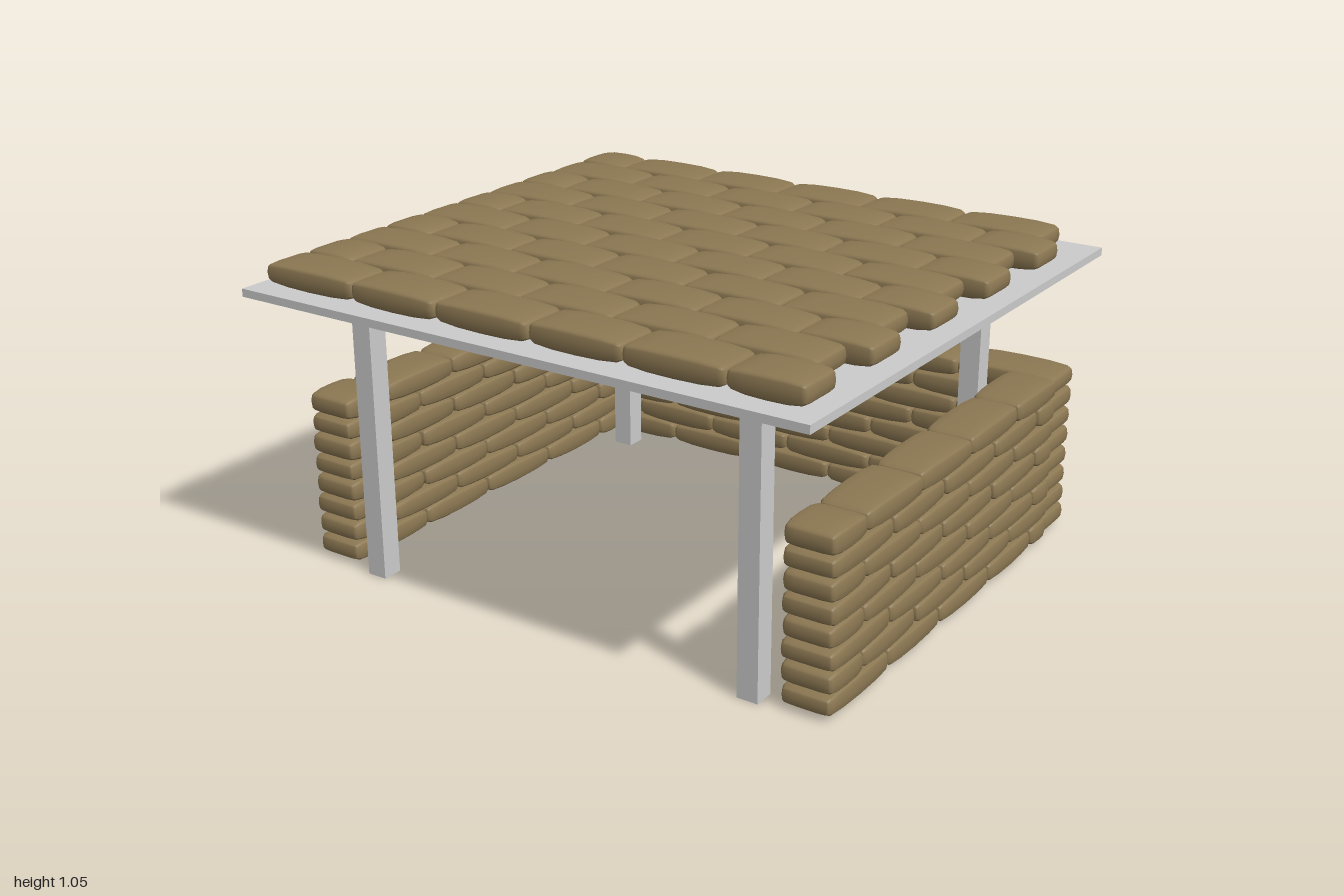
import * as THREE from 'three';
import { mergeVertices } from 'three/addons/utils/BufferGeometryUtils.js';

const grey = new THREE.MeshStandardMaterial({ color: 0xcccccc });
const stone = new THREE.MeshStandardMaterial({ color: 0x8b7752 });

// Small seeded generator for the uneven stones
let seed = 7;
const rand = () => {
  seed = (seed * 16807) % 2147483647;
  return seed / 2147483647 - 0.5;
};

// Joint positions of the two alternating courses (half stone first / half stone last)
const COURSES = [
  [-0.96, -0.77, -0.445, -0.12, 0.21, 0.545, 0.88],
  [-0.96, -0.61, -0.285, 0.055, 0.375, 0.705, 0.95],
];
const HEIGHT = 0.078, DEPTH = 0.18, ROUND = 0.028;

// Pillow-shaped stone: rounded box, thinner towards its ends, slightly uneven
function stoneGeometry(length) {
  let g = new THREE.BoxGeometry(2, 2, 2, 6, 4, 6);
  g.deleteAttribute('normal');
  g.deleteAttribute('uv');
  g = mergeVertices(g);
  const pos = g.attributes.position;
  const half = new THREE.Vector3(length / 2 + 0.003, HEIGHT / 2, DEPTH / 2);
  const core = half.clone().subScalar(ROUND);
  const p = new THREE.Vector3(), inner = new THREE.Vector3();
  const leanY = rand() * 0.08, leanZ = rand() * 0.07, wide = 1.01 + rand() * 0.05;
  for (let i = 0; i < pos.count; i++) {
    p.fromBufferAttribute(pos, i);
    // crowd the vertices towards the rounded edges
    p.set(...p.toArray().map((c) => Math.sin((c * Math.PI) / 2))).multiply(half);
    inner.copy(p).clamp(core.clone().negate(), core);
    p.sub(inner).setLength(ROUND).add(inner);
    const u = p.x / half.x;
    p.y *= 1 - 0.24 * Math.abs(u) ** 3 + leanY * u;
    p.z *= wide * (1 - 0.06 * u * u + leanZ * u);
    pos.setXYZ(i, p.x, p.y, p.z);
  }
  g.computeVertexNormals();
  return g;
}

// One row of stones between the given joints
function addCourse(parent, joints, y, z) {
  for (let i = 0; i < joints.length - 1; i++) {
    const m = new THREE.Mesh(stoneGeometry(joints[i + 1] - joints[i]), stone);
    m.name = 'stone';
    m.position.set((joints[i] + joints[i + 1]) / 2, y, z);
    parent.add(m);
  }
}

// Eight stacked courses along local x
function makeWall(name, courses, first) {
  const wall = new THREE.Group();
  wall.name = name;
  for (let r = 0; r < 8; r++) addCourse(wall, courses[(r + first) % 2], 0.045 + r * 0.0708, 0);
  return wall;
}

function addBox(parent, name, w, h, d, x, y, z) {
  const m = new THREE.Mesh(new THREE.BoxGeometry(w, h, d), grey);
  m.name = name;
  m.position.set(x, y, z);
  parent.add(m);
}

export function createModel() {
  seed = 7;
  const model = new THREE.Group();
  model.name = 'stoneShelter';

  // Roof board and four posts
  addBox(model, 'roofBoard', 2, 0.026, 1.88, 0, 0.958, 0);
  for (const x of [-0.705, 0.705])
    for (const z of [0.71, -0.645]) addBox(model, 'post', 0.07, 0.946, 0.07, x, 0.473, z);

  // Ten courses of stones laid on the roof
  const roof = new THREE.Group();
  roof.name = 'roofStones';
  for (let r = 0; r < 10; r++) addCourse(roof, COURSES[r % 2], 1.013, -0.795 + r * 0.1767);
  model.add(roof);

  // Back wall
  const back = makeWall('backWall', COURSES, 0);
  back.rotation.y = Math.PI;
  back.position.z = -0.798;
  model.add(back);

  // Side walls: same bond, shifted to the front and cut off at the back wall
  const sideCourses = COURSES.map((c) => [...c.slice(0, 5).map((x) => x + 0.23), 0.73]);
  for (const [name, x] of [['leftWall', 0.882], ['rightWall', -0.886]]) {
    const side = makeWall(name, sideCourses, 1);
    side.rotation.y = Math.PI / 2;
    side.position.x = x;
    model.add(side);
  }
  return model;
}
